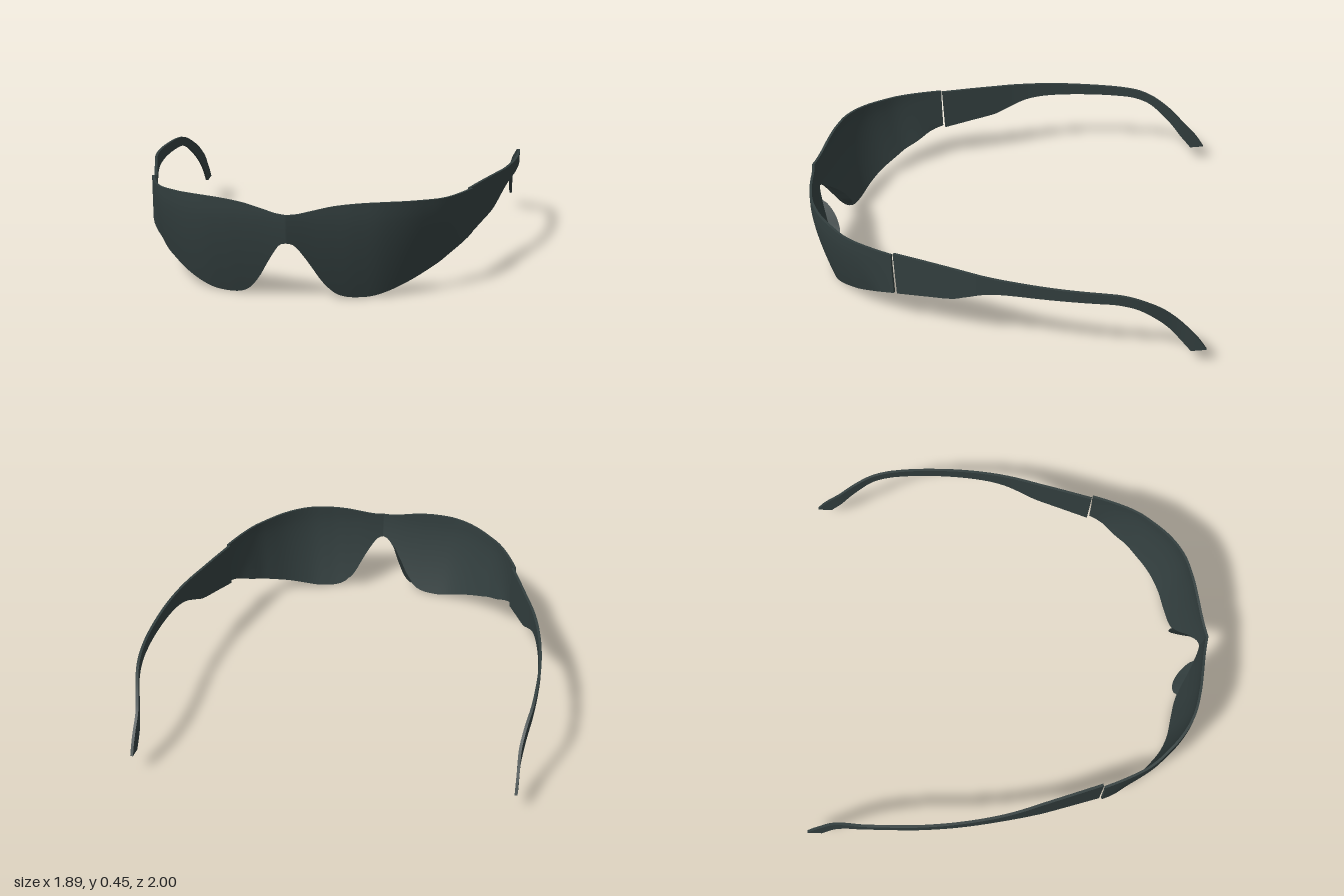
import * as THREE from 'three';

// Smooth interpolation through [x, value] points
function curve(pts) {
  const n = pts.length;
  const sec = (i) => (pts[i + 1][1] - pts[i][1]) / (pts[i + 1][0] - pts[i][0]);
  const m = pts.map((p, i) => (i === 0 ? sec(0) : i === n - 1 ? sec(n - 2) : (sec(i - 1) + sec(i)) / 2));
  return (x) => {
    let i = 0;
    while (i < n - 2 && x > pts[i + 1][0]) i++;
    const h = pts[i + 1][0] - pts[i][0];
    const t = Math.min(1, Math.max(0, (x - pts[i][0]) / h));
    const t2 = t * t, t3 = t2 * t;
    return (2 * t3 - 3 * t2 + 1) * pts[i][1] + (t3 - 2 * t2 + t) * h * m[i]
      + (3 * t2 - 2 * t3) * pts[i + 1][1] + (t3 - t2) * h * m[i + 1];
  };
}

// Grid surface from a point function
function sheet(fn, nu, nv) {
  const pos = [], idx = [];
  for (let i = 0; i <= nu; i++) {
    for (let j = 0; j <= nv; j++) pos.push(...fn(i / nu, j / nv).toArray());
  }
  for (let i = 0; i < nu; i++) {
    for (let j = 0; j < nv; j++) {
      const a = i * (nv + 1) + j, b = a + nv + 1;
      idx.push(a, b, b + 1, a, b + 1, a + 1);
    }
  }
  const g = new THREE.BufferGeometry();
  g.setAttribute('position', new THREE.Float32BufferAttribute(pos, 3));
  g.setIndex(idx);
  g.computeVertexNormals();
  return g;
}

// Thin shell: outer face, inner face and four sharp rims
function shell(name, fn, nu, nv, thick, material) {
  const inner = (u, v) => {
    const e = 0.004;
    const du = fn(Math.min(1, u + e), v).sub(fn(Math.max(0, u - e), v));
    const dv = fn(u, Math.min(1, v + e)).sub(fn(u, Math.max(0, v - e)));
    return fn(u, v).addScaledVector(du.cross(dv).normalize(), -thick);
  };
  const rim = (u, v, k) => fn(u, v).lerp(inner(u, v), k);
  const group = new THREE.Group();
  group.name = name;
  const add = (label, f, a, b) => {
    const mesh = new THREE.Mesh(sheet(f, a, b), material);
    mesh.name = name + label;
    group.add(mesh);
  };
  add('Outside', fn, nu, nv);
  add('Inside', (u, v) => inner(1 - u, v), nu, nv);
  add('TopRim', (u, k) => rim(u, 1, k), nu, 1);
  add('BottomRim', (u, k) => rim(1 - u, 0, k), nu, 1);
  add('StartRim', (k, v) => rim(0, v, 1 - k), 1, nv);
  add('EndRim', (k, v) => rim(1, v, k), 1, nv);
  return group;
}

// Wraparound lens outline, by distance from the middle
const END = 0.77;
const lensTop = curve([[0, 0.4], [0.05, 0.404], [0.1, 0.415], [0.2, 0.438], [0.3, 0.45], [0.42, 0.454],
  [0.55, 0.447], [0.65, 0.437], [0.77, 0.43]]);
const lensBottom = curve([[0, 0.27], [0.025, 0.264], [0.045, 0.246], [0.07, 0.21], [0.106, 0.15], [0.135, 0.098],
  [0.166, 0.055], [0.2, 0.022], [0.24, 0.005], [0.3, 0], [0.36, 0.005], [0.42, 0.022], [0.49, 0.05],
  [0.58, 0.093], [0.66, 0.138], [0.77, 0.215]]);
const lensDepth = curve([[0, 0.995], [0.1, 0.973], [0.2, 0.955], [0.3, 0.936], [0.42, 0.9], [0.52, 0.84],
  [0.6, 0.765], [0.68, 0.665], [0.74, 0.535], [0.77, 0.452]]);

function lensPoint(x, v) {
  const a = Math.abs(x);
  const y = THREE.MathUtils.lerp(lensBottom(a), lensTop(a), v);
  const slope = (lensDepth(Math.min(END, a + 0.02)) - lensDepth(Math.max(0, a - 0.02))) / 0.04;
  const taper = 1 - 0.9 * THREE.MathUtils.smoothstep(a, 0.66, END);
  const drop = 0.35 * Math.pow(Math.max(0, 0.4 - y), 1.5) * Math.hypot(1, slope) * taper;
  return new THREE.Vector3(x, y, lensDepth(a) - drop);
}

// Temple arm sections: top z, top y, bottom z, bottom y
const sections = [[0.445, 0.43, 0.434, 0.208], [0.3, 0.432, 0.3, 0.235], [0.17, 0.432, 0.17, 0.262],
  [0.1, 0.432, 0.1, 0.293], [0, 0.43, 0, 0.337], [-0.15, 0.428, -0.12, 0.358], [-0.35, 0.422, -0.33, 0.365],
  [-0.53, 0.416, -0.52, 0.365], [-0.63, 0.404, -0.6, 0.36], [-0.72, 0.37, -0.68, 0.337],
  [-0.81, 0.312, -0.75, 0.29], [-0.9, 0.225, -0.82, 0.225], [-0.96, 0.16, -0.88, 0.15], [-1, 0.102, -0.93, 0.09]];
const [topZ, topY, botZ, botY] = [0, 1, 2, 3].map((k) => curve(sections.map((s, i) => [i, s[k]])));
const armX = curve([[-1, 0.887], [-0.93, 0.888], [-0.87, 0.888], [-0.8, 0.902], [-0.7, 0.926], [-0.55, 0.94],
  [-0.4, 0.942], [-0.2, 0.928], [0, 0.894], [0.2, 0.835], [0.45, 0.758]]);

function armPoint(u, v) {
  const s = u * (sections.length - 1);
  const z = THREE.MathUtils.lerp(botZ(s), topZ(s), v);
  return new THREE.Vector3(armX(z), THREE.MathUtils.lerp(botY(s), topY(s), v), z);
}

// Nose pad: curved fin running back from the lens edge
function padPoint(u, v) {
  const p = lensPoint(0.06 + 0.12 * u, 0);
  p.z -= 0.004 + (1 - v) * (0.008 + 0.055 * Math.pow(Math.sin(Math.PI * Math.min(1, u)) + 1e-6, 0.6));
  p.x += 0.004;
  p.y += 0.004;
  return p;
}

// Mirror a point function while keeping its outside facing out
const mirrored = (fn, side) => (side > 0 ? fn : (u, v) => {
  const p = fn(1 - u, v);
  p.x = -p.x;
  return p;
});

export function createModel() {
  const model = new THREE.Group();
  model.name = 'sunglasses';
  const dark = new THREE.MeshStandardMaterial({ color: 0x323e3e });
  dark.name = 'smokyGreyGreen';
  const padDark = dark.clone();
  padDark.side = THREE.DoubleSide;

  const lens = (u, v) => {
    const s = 2 * u - 1;
    return lensPoint(END * Math.sign(s) * Math.pow(Math.abs(s), 1.25), v);
  };
  model.add(shell('lens', lens, 112, 14, 0.012, dark));

  for (const side of [1, -1]) {
    const label = side > 0 ? 'left' : 'right';
    model.add(shell(label + 'Temple', mirrored(armPoint, side), 78, 4, 0.013, dark));
    const pad = new THREE.Mesh(sheet(mirrored(padPoint, side), 16, 4), padDark);
    pad.name = label + 'NosePad';
    model.add(pad);
  }
  return model;
}
